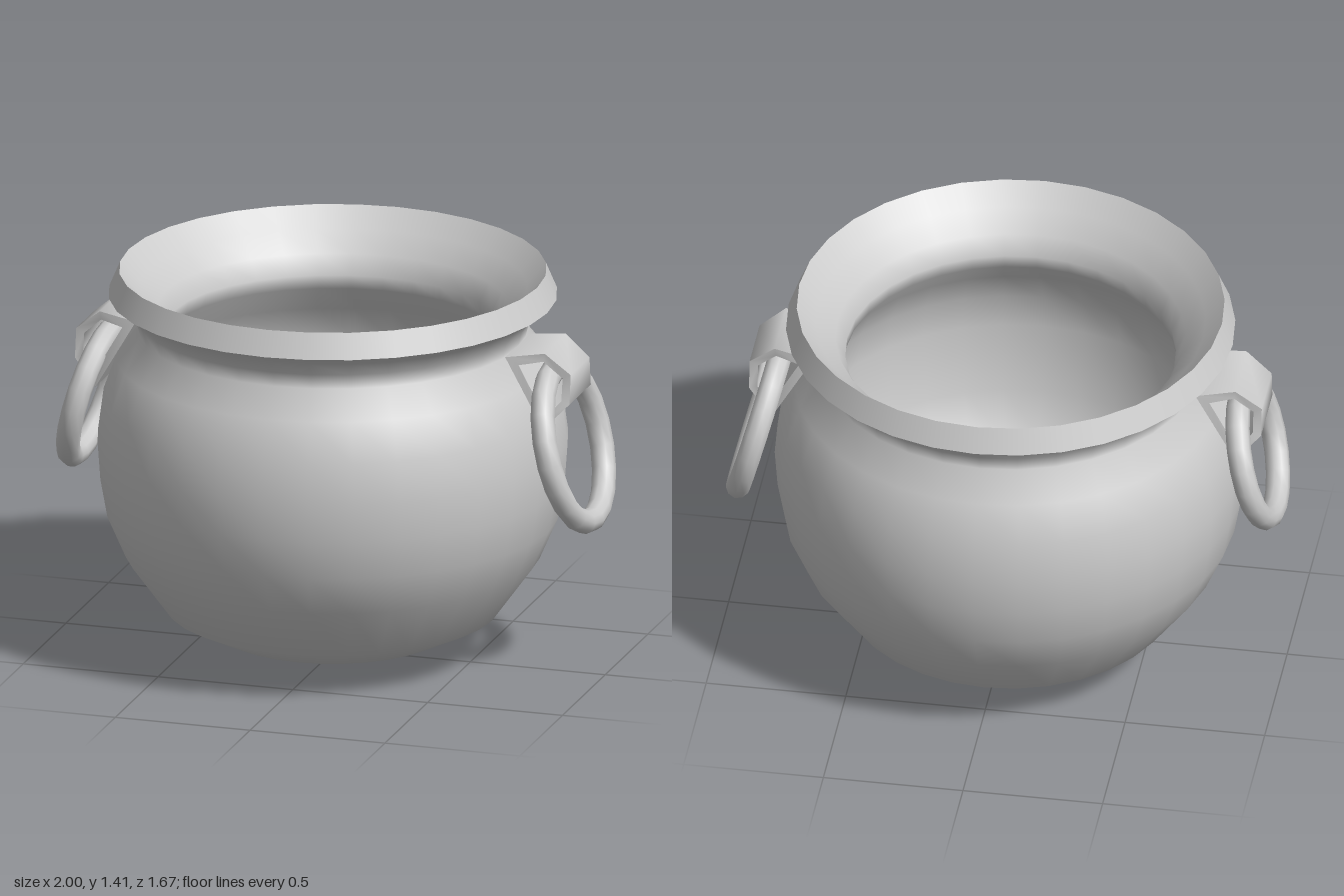
import * as THREE from 'three';
import { toCreasedNormals } from 'three/addons/utils/BufferGeometryUtils.js';

const material = new THREE.MeshStandardMaterial({ color: 0xcccccc });

function addMesh(parent, name, geometry) {
  const mesh = new THREE.Mesh(geometry, material);
  mesh.name = name;
  parent.add(mesh);
  return mesh;
}

const lathe = (profile) =>
  new THREE.LatheGeometry(profile.map(([r, y]) => new THREE.Vector2(r, y)), 32);

// Closed strap loop: each station is [outer x, outer y, inner x, inner y, half width]
function strapGeometry(stations) {
  const positions = [];
  const corners = ([ox, oy, ix, iy, w]) => [[ox, oy, w], [ox, oy, -w], [ix, iy, -w], [ix, iy, w]];
  stations.forEach((station, i) => {
    const a = corners(station);
    const b = corners(stations[(i + 1) % stations.length]);
    for (let k = 0; k < 4; k++) {
      const n = (k + 1) % 4;
      positions.push(...a[k], ...b[k], ...a[n], ...b[k], ...b[n], ...a[n]);
    }
  });
  const geometry = new THREE.BufferGeometry();
  geometry.setAttribute('position', new THREE.Float32BufferAttribute(positions, 3));
  return toCreasedNormals(geometry, 1.1);
}

// Strap fixed to the shoulder with a tilted ring hanging through it
function makeHandle(name, ringRadius, ringX, ringY) {
  const handle = new THREE.Group();
  handle.name = name;
  addMesh(handle, 'strap', strapGeometry([
    [0.685, 1.19, 0.735, 1.165, 0.145],
    [0.825, 1.21, 0.82, 1.18, 0.125],
    [0.917, 1.135, 0.887, 1.12, 0.11],
    [0.917, 1.03, 0.887, 1.04, 0.125],
    [0.83, 0.94, 0.838, 0.985, 0.16],
  ]));
  const ring = new THREE.TorusGeometry(ringRadius, 0.043, 10, 20);
  ring.rotateY(Math.PI / 2).rotateZ(0.26);
  addMesh(handle, 'ring', ring).position.set(ringX, ringY, 0);
  return handle;
}

export function createModel() {
  const model = new THREE.Group();
  model.name = 'cauldron';
  model.position.x = -0.01;

  // Round belly up to the underside of the rim
  addMesh(model, 'body', lathe([
    [0, 0], [0.2, 0.022], [0.41, 0.073], [0.59, 0.16], [0.735, 0.36], [0.8, 0.51],
    [0.825, 0.65], [0.835, 0.79], [0.815, 0.94], [0.765, 1.08], [0.685, 1.18],
    [0.698, 1.235], [0.735, 1.285], [0.795, 1.32],
  ]));

  // Bevelled band around the mouth
  addMesh(model, 'rim', lathe([[0.795, 1.32], [0.757, 1.41]]));

  // Flared mouth, narrow neck and hollow inside
  addMesh(model, 'interior', lathe([
    [0.757, 1.41], [0.69, 1.34], [0.62, 1.27], [0.585, 1.2], [0.59, 1.15], [0.67, 1.05],
    [0.72, 0.93], [0.74, 0.79], [0.71, 0.53], [0.64, 0.38], [0.53, 0.24],
    [0.38, 0.16], [0.2, 0.11], [0, 0.09],
  ]));

  // The left handle has the larger ring
  model.add(makeHandle('leftHandle', 0.28, 0.892, 0.845));
  const rightHandle = makeHandle('rightHandle', 0.24, 0.885, 0.872);
  rightHandle.rotation.y = Math.PI;
  model.add(rightHandle);

  const root = new THREE.Group();
  root.add(model);
  return root;
}
